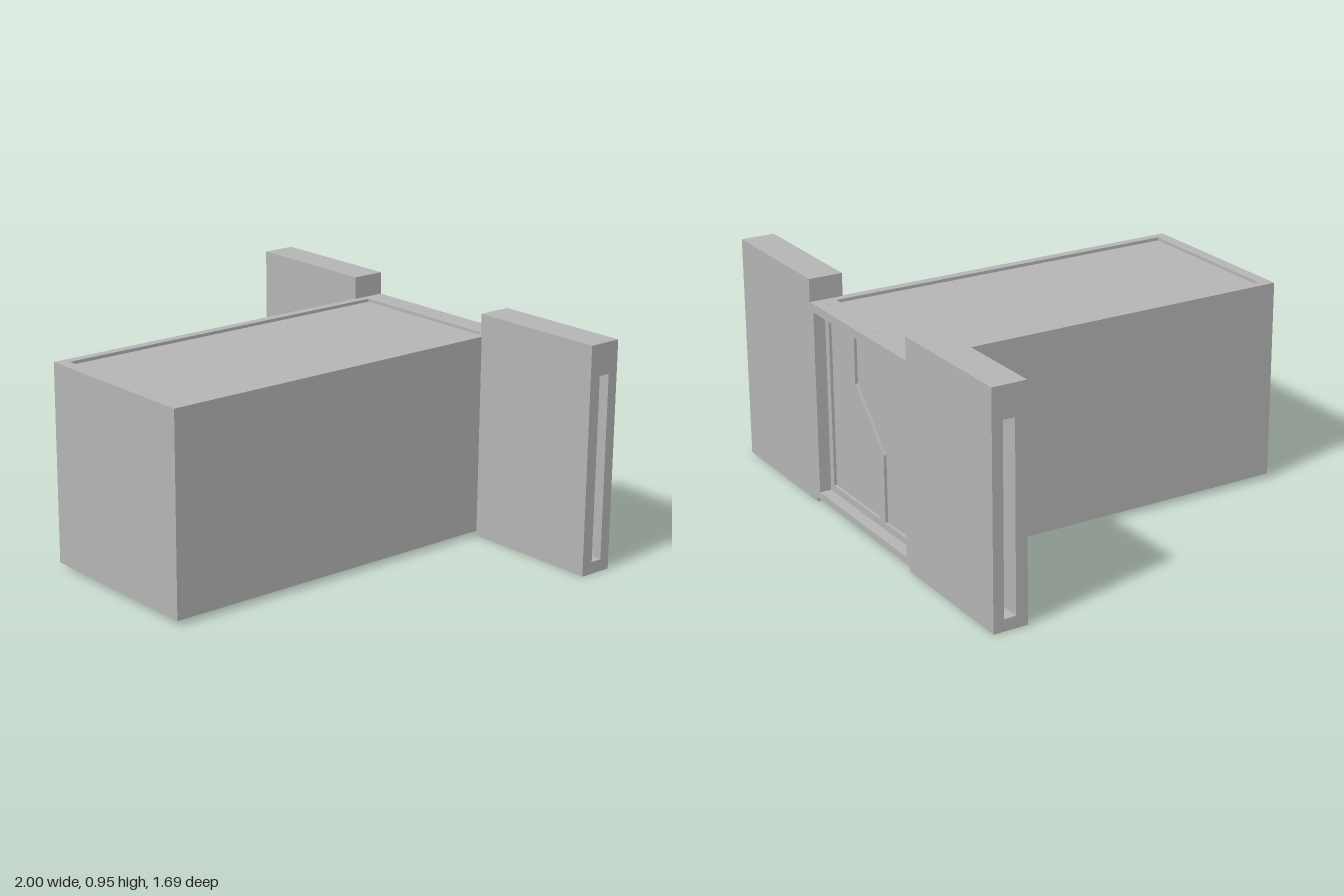
import * as THREE from 'three';

const HALF_W = 0.393, HALF_L = 0.845;   // compartment half width and length
const BOTTOM = 0.02, TOP = 0.855, RIM = 0.013;

const rect = (x0, x1, y0, y1) => [[x0, y0], [x1, y0], [x1, y1], [x0, y1]];
const toVectors = (points) => points.map(([x, y]) => new THREE.Vector2(x, y));

// Flat plate with holes, extruded along +z
function plate(outline, holes, depth) {
  const shape = new THREE.Shape(toVectors(outline));
  for (const hole of holes) shape.holes.push(new THREE.Path(toVectors(hole)));
  return new THREE.ExtrudeGeometry(shape, { depth, bevelEnabled: false });
}

function box(x0, x1, y0, y1, z0, z1) {
  return new THREE.BoxGeometry(x1 - x0, y1 - y0, z1 - z0)
    .translate((x0 + x1) / 2, (y0 + y1) / 2, (z0 + z1) / 2);
}

export function createModel() {
  const group = new THREE.Group();
  const grey = new THREE.MeshStandardMaterial({ color: 0xb4b4b4 });
  grey.name = 'grey';

  function add(name, geometry) {
    const mesh = new THREE.Mesh(geometry, grey);
    mesh.name = name;
    group.add(mesh);
    return mesh;
  }

  // Long compartment behind the door
  add('compartment', box(-HALF_W, HALF_W, BOTTOM + RIM, TOP - RIM, -0.75, HALF_L));

  // Raised rims around the roof and the floor, leaving shallow recessed panels
  const rimOutline = rect(-HALF_W, HALF_W, -HALF_L, HALF_L);
  const rimHole = rect(-0.355, 0.355, -0.795, 0.745);
  for (const [name, y] of [['roofRim', TOP - RIM], ['floorRim', BOTTOM]]) {
    add(name, plate(rimOutline, [rimHole], RIM).rotateX(-Math.PI / 2).translate(0, y, 0));
  }

  // Door surround
  add('doorFrame', plate(
    rect(-HALF_W, HALF_W, BOTTOM + RIM, TOP - RIM),
    [rect(-0.36, 0.36, 0.05, 0.82)], 0.095).translate(0, 0, -HALF_L));

  // Door with two recessed panels and a stepped diagonal seam
  add('doorPanels', box(-0.36, 0.36, 0.05, 0.82, -0.783, -0.75));
  const panelLeft = [[0.33, 0.08], [0.33, 0.795], [0.162, 0.795],
    [0.162, 0.571], [-0.058, 0.346], [-0.058, 0.08]];
  const panelRight = [[-0.33, 0.08], [-0.102, 0.08], [-0.102, 0.364],
    [0.118, 0.589], [0.118, 0.795], [-0.33, 0.795]];
  add('doorRails', plate(rect(-0.36, 0.36, 0.05, 0.82), [panelLeft, panelRight], 0.012)
    .translate(0, 0, -0.795));

  // Side walls, each with a tall slot running through it for a sliding door
  const wallOutline = rect(0.70, HALF_L, 0, 0.95);
  const slot = rect(0.75, 0.80, 0.05, 0.82);
  for (const [name, x] of [['leftWall', 0.388], ['rightWall', -1]]) {
    add(name, plate(wallOutline, [slot], 0.612).rotateY(Math.PI / 2).translate(x, 0, 0));
  }

  // Small rivets above and below the door
  const rivet = new THREE.CylinderGeometry(0.004, 0.004, 0.004, 8);
  for (const y of [TOP, BOTTOM]) {
    for (let i = 0; i < 8; i++) {
      add('rivet', rivet).position.set(-0.32 + i * 0.64 / 7, y, -0.795);
    }
  }
  return group;
}
